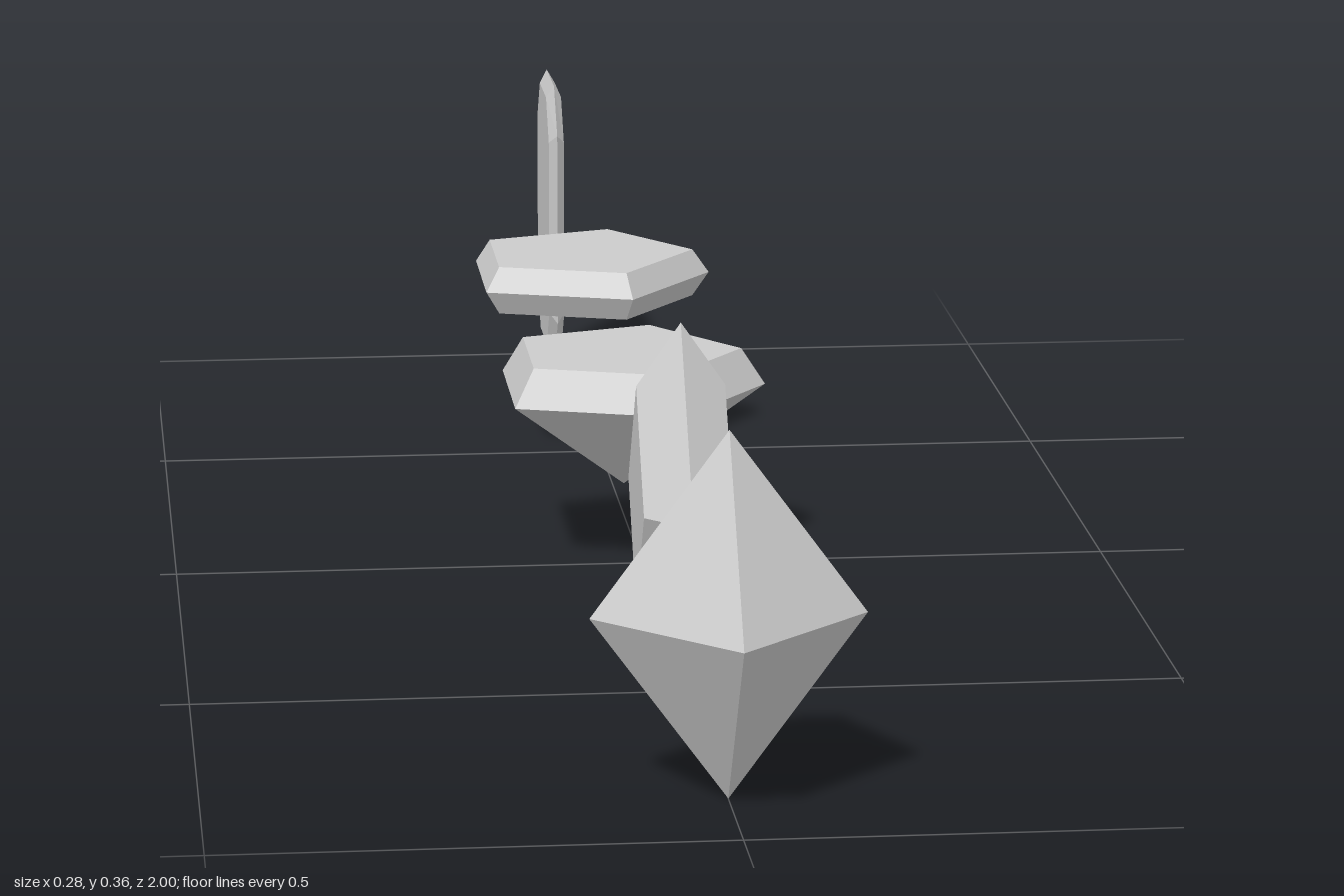
import * as THREE from 'three';

const material = new THREE.MeshStandardMaterial({ color: 0xcccccc, flatShading: true });

// Regular outline in x/z with its first corner on +x
function polygon(sides, rx, rz = rx) {
  return Array.from({ length: sides }, (_, i) => {
    const a = (i / sides) * Math.PI * 2;
    return [rx * Math.cos(a), rz * Math.sin(a)];
  });
}

// Faceted stone: rings [height, scaleX, scaleZ] of one outline, closed by fans to a bottom and a top point
function stone(name, outline, rings, bottom, top) {
  const pos = [];
  const n = outline.length;
  const at = ([h, sx, sz = sx], i) => [outline[i % n][0] * sx, h, outline[i % n][1] * sz];
  const tri = (...corners) => corners.forEach((c) => pos.push(...c));
  const last = rings[rings.length - 1];
  for (let i = 0; i < n; i++) {
    tri([0, bottom, 0], at(rings[0], i), at(rings[0], i + 1));
    for (let k = 0; k + 1 < rings.length; k++) {
      const lo = rings[k], hi = rings[k + 1];
      tri(at(lo, i), at(hi, i), at(lo, i + 1));
      tri(at(hi, i), at(hi, i + 1), at(lo, i + 1));
    }
    tri([0, top, 0], at(last, i + 1), at(last, i));
  }
  const geometry = new THREE.BufferGeometry();
  geometry.setAttribute('position', new THREE.Float32BufferAttribute(pos, 3));
  geometry.computeVertexNormals();
  const mesh = new THREE.Mesh(geometry, material);
  mesh.name = name;
  return mesh;
}

export function createModel() {
  const group = new THREE.Group();
  group.name = 'gemstones';
  const place = (mesh, x, y, z, upright = false) => {
    mesh.position.set(x, y, z);
    if (upright) mesh.rotation.z = Math.PI / 2;
    group.add(mesh);
  };

  // Double pyramid
  place(stone('octahedronGem', polygon(4, 0.132), [[0, 1]], -0.18, 0.18), 0, 0.183, 0.868);

  // Upright rhombus with bevelled faces
  place(stone('rhombusGem', polygon(4, 0.18, 0.131),
    [[-0.045, 0.64], [0, 1], [0.045, 0.64]], -0.045, 0.045), 0, 0.183, 0.415, true);

  // Pentagon with a flat table and a pointed underside
  place(stone('pointedPentagonGem', polygon(5, 0.153),
    [[0, 1], [0.04, 0.83]], -0.107, 0.04), -0.016, 0.19, -0.035);

  // Pentagon slab, bevelled above and below
  place(stone('flatPentagonGem', polygon(5, 0.145),
    [[-0.027, 0.87], [0, 1], [0.027, 0.87]], -0.027, 0.027), -0.017, 0.205, -0.53);

  // Thin upright slab with clipped corners
  const clipped = [
    [0.166, -0.054], [0.166, 0.054], [0.114, 0.099], [-0.114, 0.099],
    [-0.166, 0.054], [-0.166, -0.054], [-0.114, -0.099], [0.114, -0.099],
  ];
  place(stone('clippedSlabGem', clipped,
    [[-0.009, 0.91, 0.86], [0, 1], [0.009, 0.91, 0.86]], -0.009, 0.009), -0.024, 0.199, -0.901, true);

  return group;
}
